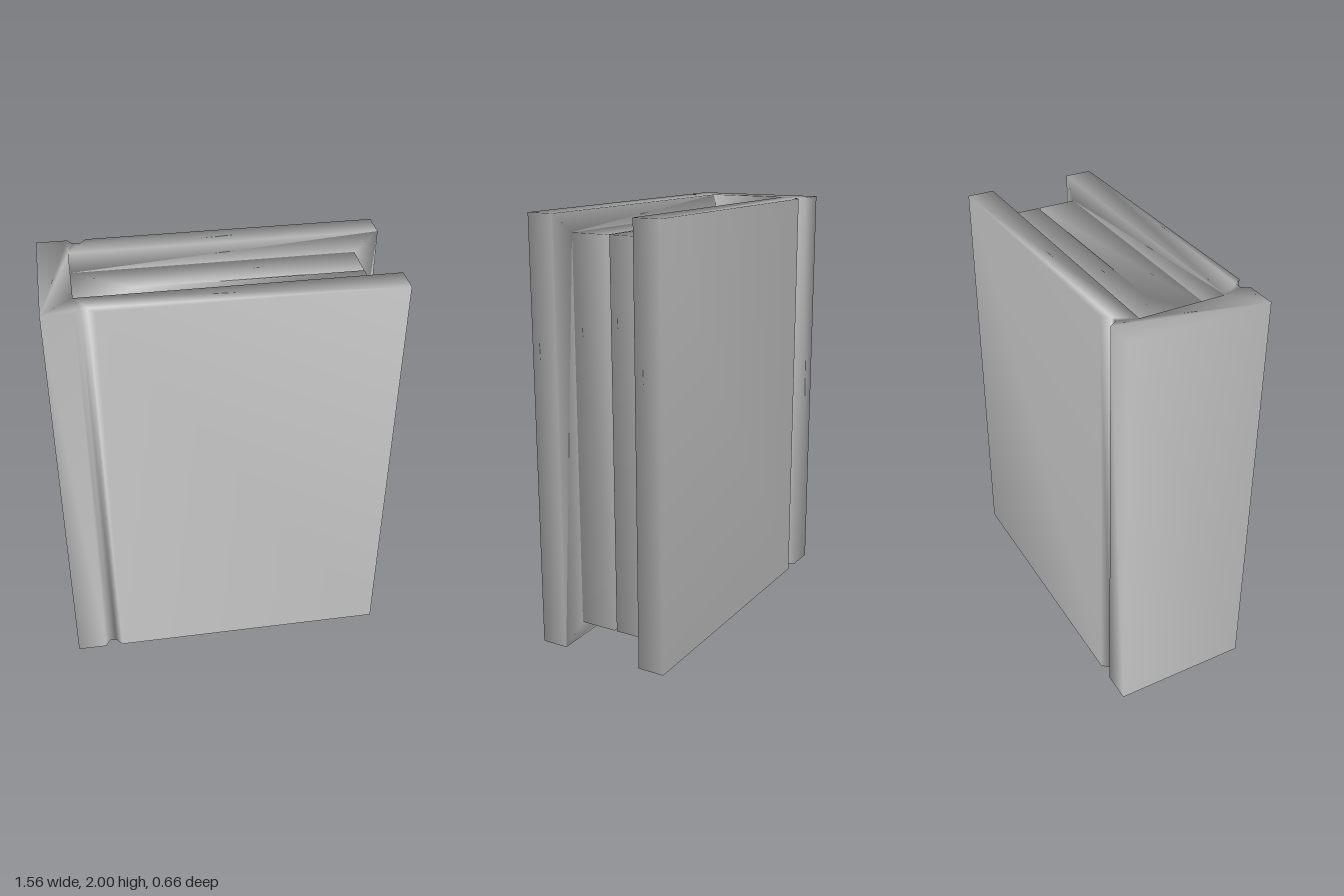
import * as THREE from 'three';
import { mergeVertices } from 'three/addons/utils/BufferGeometryUtils.js';

const HEIGHT = 2;
const SPINE = -0.64;    // inner face of the spine
const PAGE_EDGE = 0.67; // fore edge of the pages
const MARGIN = 0.087;   // pages set in from the top and bottom

// Share the corners so that normals blend softly across the edges
function soften(geometry) {
  geometry.deleteAttribute('uv');
  geometry.deleteAttribute('normal');
  const merged = mergeVertices(geometry, 1e-4);
  merged.computeVertexNormals();
  return merged;
}

// Upright prism from an outline of [x, z] points
function prism(outline, y0, y1) {
  const shape = new THREE.Shape(outline.map(([x, z]) => new THREE.Vector2(x, -z)));
  const geometry = new THREE.ExtrudeGeometry(shape, { depth: y1 - y0, bevelEnabled: false });
  geometry.rotateX(-Math.PI / 2).translate(0, y0, 0);
  return soften(geometry);
}

// Thin slab on a board's inner face, sloping in from the board's edge to the pages
function linerGeometry(side) {
  const geometry = new THREE.BoxGeometry(1, 1, 1);
  const p = geometry.attributes.position;
  for (let i = 0; i < p.count; i++) {
    const inner = p.getZ(i) * side < 0;
    const x = p.getX(i) < 0 ? SPINE : inner ? PAGE_EDGE : 0.78;
    const inset = inner ? MARGIN : 0;
    const y = p.getY(i) < 0 ? inset : HEIGHT - inset;
    p.setXYZ(i, x, y, side * (inner ? 0.18 : 0.2));
  }
  return soften(geometry);
}

export function createModel() {
  const book = new THREE.Group();
  book.name = 'book';
  const material = new THREE.MeshStandardMaterial({ color: 0xcccccc });
  const add = (name, geometry) => {
    const mesh = new THREE.Mesh(geometry, material);
    mesh.name = name;
    book.add(mesh);
  };

  // Cover: spine and two boards in one U-shaped outline, with hinge grooves
  const half = [
    [-0.78, 0.328], [-0.64, 0.328], [-0.615, 0.292], [-0.585, 0.292],
    [-0.555, 0.328], [0.78, 0.328], [0.78, 0.2], [SPINE, 0.2],
  ];
  const mirrored = half.map(([x, z]) => [x, -z]).reverse();
  add('cover', prism([...half, ...mirrored], 0, HEIGHT));

  // Endpaper liners
  add('frontLiner', linerGeometry(1));
  add('backLiner', linerGeometry(-1));

  // Page block, split by a narrow wedge-shaped gap at the fore edge
  add('pages', prism([
    [SPINE, 0.18], [PAGE_EDGE, 0.18], [PAGE_EDGE, 0], [-0.37, -0.003],
    [PAGE_EDGE, -0.012], [PAGE_EDGE, -0.18], [SPINE, -0.18],
  ], MARGIN, HEIGHT - MARGIN));

  return book;
}
